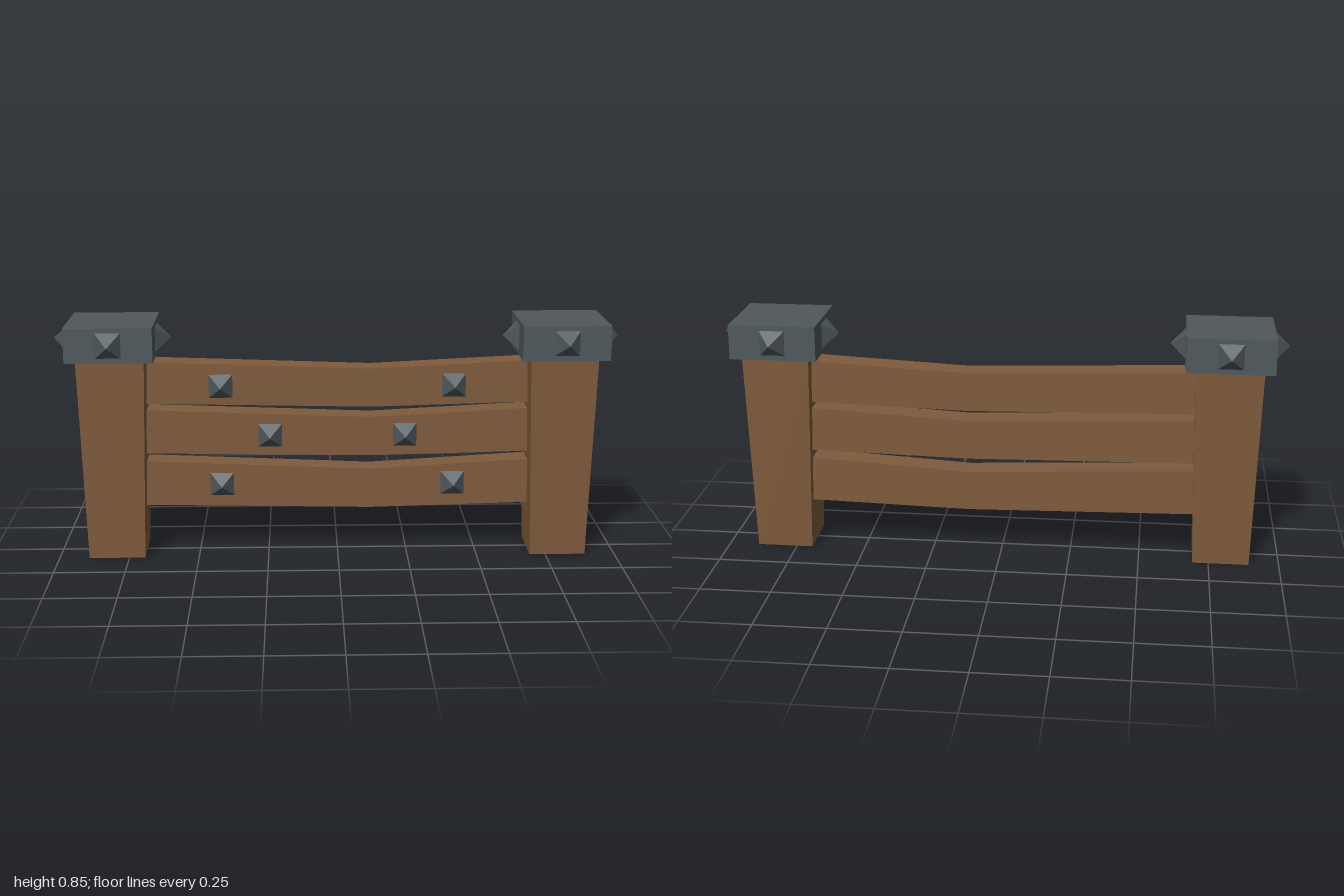
import * as THREE from 'three';

export function createModel() {
  const wood = new THREE.MeshStandardMaterial({ name: 'wood', color: 0x7f5b3c, flatShading: true, side: THREE.DoubleSide });
  const iron = new THREE.MeshStandardMaterial({ name: 'iron', color: 0x4f585c, flatShading: true });
  const fence = new THREE.Group();
  fence.name = 'fence';

  const add = (parent, name, geometry, material, x = 0, y = 0, z = 0) => {
    const mesh = new THREE.Mesh(geometry, material);
    mesh.name = name;
    mesh.position.set(x, y, z);
    parent.add(mesh);
    return mesh;
  };

  // Square pyramid stud, base on z = 0, tip towards +z
  const studGeometry = (half, height) =>
    new THREE.ConeGeometry(half * Math.SQRT2, height, 4, 1, true)
      .rotateY(Math.PI / 4).translate(0, height / 2, 0).rotateX(Math.PI / 2);

  // Posts: tapered, open underneath, with an iron cap studded on four sides
  const postHeight = 0.73, capHalf = 0.153;
  const postGeometry = new THREE.CylinderGeometry(0.119 * Math.SQRT2, 0.1 * Math.SQRT2, postHeight, 4, 1, true)
    .rotateY(Math.PI / 4);
  const capGeometry = new THREE.BoxGeometry(capHalf * 2, 0.123, capHalf * 2);
  const capStud = studGeometry(0.044, 0.053);
  for (const side of [-1, 1]) {
    const post = new THREE.Group();
    post.name = side > 0 ? 'leftPost' : 'rightPost';
    post.position.x = side * 0.793;
    add(post, 'postBeam', postGeometry, wood, 0, postHeight / 2, 0);
    add(post, 'postCap', capGeometry, iron, 0, 0.7865, 0);
    for (let i = 0; i < 4; i++) {
      const a = i * Math.PI / 2;
      add(post, 'capStud', capStud, iron, Math.sin(a) * capHalf, 0.787, Math.cos(a) * capHalf).rotation.y = a;
    }
    fence.add(post);
  }

  // Sagging planks: [name, top at ends, top at bend, bottom at ends, bottom at bend, stud x, stud y]
  const planks = [
    ['topPlank', 0.703, 0.674, 0.551, 0.535, 0.415, 0.613],
    ['middlePlank', 0.528, 0.497, 0.368, 0.355, 0.241, 0.432],
    ['bottomPlank', 0.339, 0.304, 0.175, 0.16, 0.415, 0.251],
  ];
  const end = 0.71, bend = 0.118, back = -0.07, front = 0.024;
  const plankStud = studGeometry(0.042, 0.048);
  for (const [name, topEnd, topBend, lowEnd, lowBend, studX, studY] of planks) {
    const outline = new THREE.Shape([
      [-end, lowEnd], [bend, lowBend], [end, lowEnd],
      [end, topEnd], [bend, topBend], [-end, topEnd],
    ].map(([x, y]) => new THREE.Vector2(x, y)));
    const geometry = new THREE.ExtrudeGeometry(outline, { depth: front - back, bevelEnabled: false });
    add(fence, name, geometry, wood, 0, 0, back);
    for (const side of [-1, 1]) add(fence, 'plankStud', plankStud, iron, side * studX, studY, front);
  }

  return fence;
}
